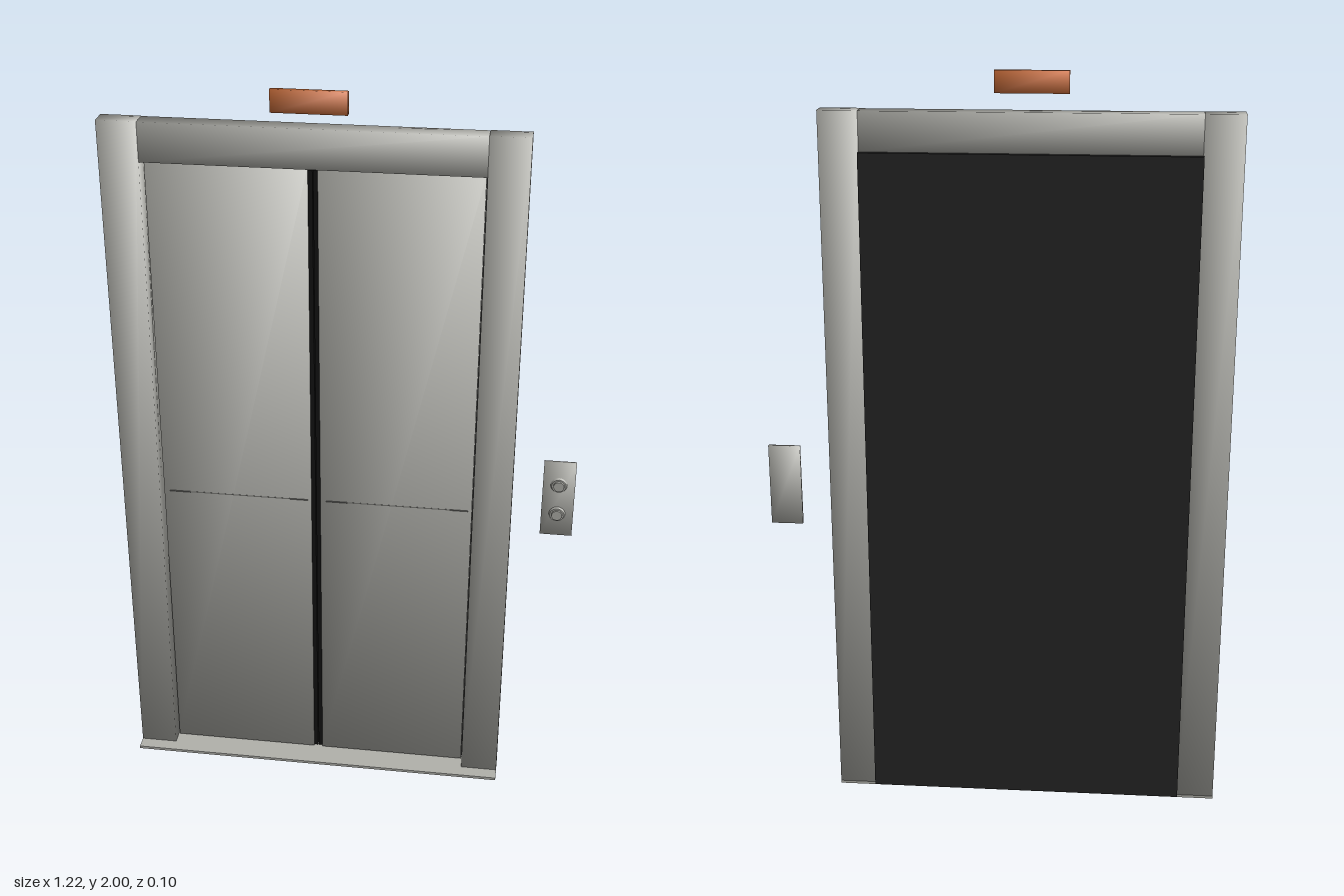
import * as THREE from 'three';

const material = (name, color) => {
  const m = new THREE.MeshStandardMaterial({ color });
  m.name = name;
  return m;
};

export function createModel() {
  const group = new THREE.Group();
  const steel = material('brushed steel', 0xb2b2ac);
  const charcoal = material('charcoal', 0x252525);
  const rubber = material('black rubber', 0x131313);
  const orange = material('orange', 0xd0703a);
  const seamGrey = material('seam grey', 0x7c7c78);

  // Box given by its extents; soft boxes get corner-averaged normals
  function box(name, mat, [x0, x1], [y0, y1], [z0, z1], soft = true) {
    const geo = new THREE.BoxGeometry(x1 - x0, y1 - y0, z1 - z0);
    if (soft) {
      const p = geo.attributes.position;
      const n = new THREE.Vector3();
      for (let i = 0; i < p.count; i++) {
        n.set(Math.sign(p.getX(i)), Math.sign(p.getY(i)), Math.sign(p.getZ(i))).normalize();
        geo.attributes.normal.setXYZ(i, n.x, n.y, n.z);
      }
    }
    const mesh = new THREE.Mesh(geo, mat);
    mesh.name = name;
    mesh.position.set((x0 + x1) / 2, (y0 + y1) / 2, (z0 + z1) / 2);
    group.add(mesh);
    return mesh;
  }

  // Door surround
  const depth = [-0.037, 0.013];
  box('rightPost', steel, [-0.612, -0.51], [0.008, 1.905], depth);
  box('leftPost', steel, [0.345, 0.447], [0.008, 1.905], depth);
  box('header', steel, [-0.51, 0.345], [1.803, 1.904], depth);
  box('sill', steel, [-0.612, 0.447], [0, 0.008], [-0.037, 0.05], false);

  // Dark panel closing the back of the opening
  box('backPanel', charcoal, [-0.512, 0.346], [0.01, 1.803], [-0.053, -0.037], false);

  // Sliding doors, each with a rubber edge and a fine seam
  const doors = [
    ['right', [-0.506, -0.096], [-0.096, -0.0845]],
    ['left', [-0.071, 0.341], [-0.0825, -0.071]],
  ];
  for (const [side, span, edge] of doors) {
    box(side + 'Door', steel, span, [0.012, 1.799], [-0.037, -0.02]);
    box(side + 'DoorEdge', rubber, edge, [0.015, 1.79], [-0.037, -0.022], false);
    box(side + 'DoorSeam', seamGrey, [span[0] + 0.015, span[1] - 0.01], [0.857, 0.86], [-0.021, -0.0195], false);
  }

  // Floor indicator above the doorway
  box('indicator', orange, [-0.178, 0.01], [1.944, 2.0], [0.012, 0.026]);

  // Call plate with two round buttons
  box('callPlate', steel, [0.526, 0.611], [0.8, 1.021], [-0.037, -0.028]);
  for (const y of [0.865, 0.953]) {
    const button = new THREE.Group();
    button.name = 'callButton';
    button.position.set(0.568, y, -0.028);
    const collar = new THREE.Mesh(new THREE.CylinderGeometry(0.019, 0.022, 0.006, 20), steel);
    collar.name = 'buttonCollar';
    collar.rotation.x = Math.PI / 2;
    collar.position.z = 0.003;
    const cap = new THREE.Mesh(new THREE.CylinderGeometry(0.014, 0.015, 0.006, 20), steel);
    cap.name = 'buttonCap';
    cap.rotation.x = Math.PI / 2;
    cap.position.z = 0.008;
    button.add(collar, cap);
    group.add(button);
  }

  return group;
}
